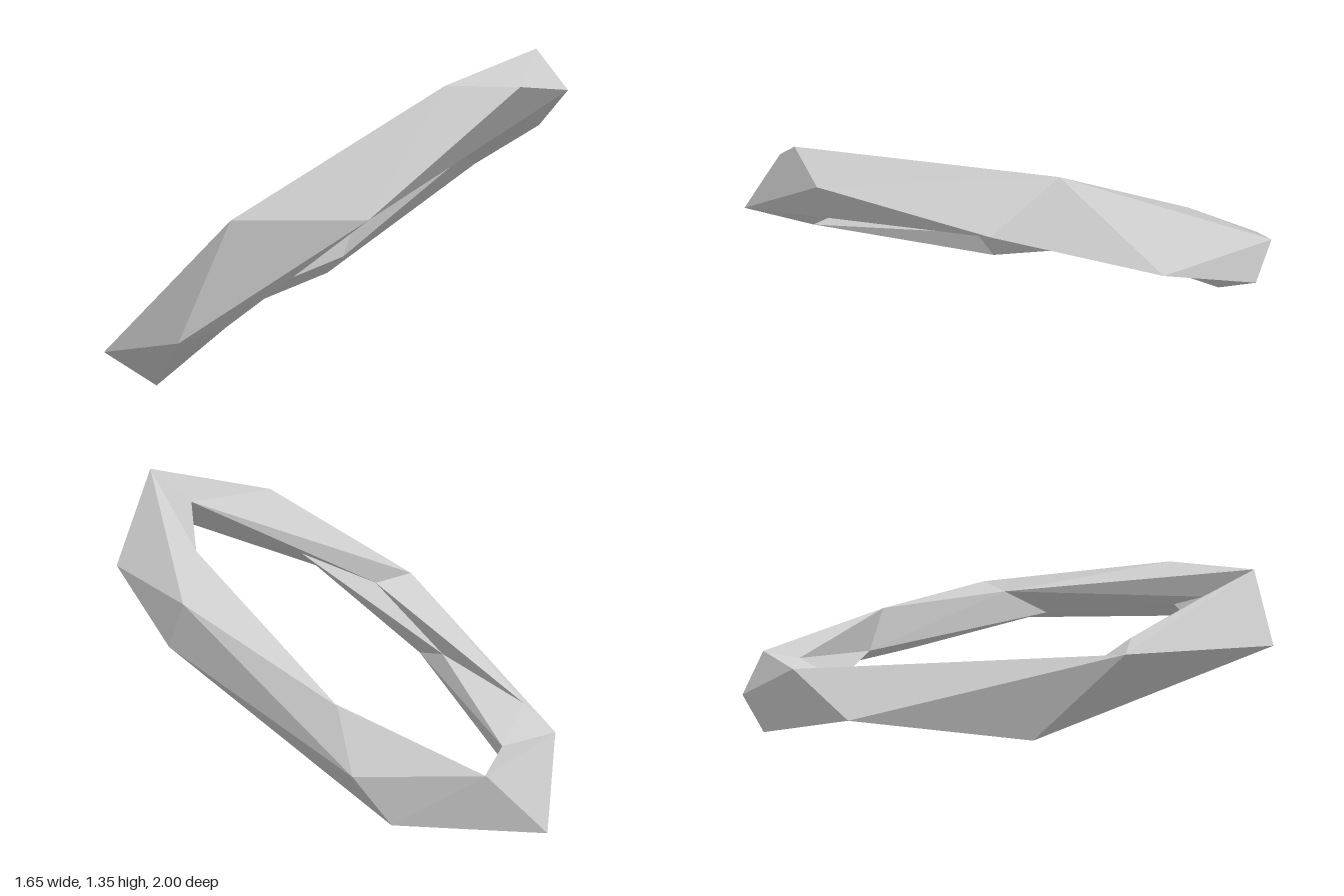
import * as THREE from 'three';

// Corners of the faceted ring, grouped by where they sit on the band
const P = {
  // upper crest
  M: [0.66, 1.35, -0.38], A: [0.17, 0.94, -1.0], B2: [-0.31, 0.645, -0.93], D: [-0.68, 0.36, -0.55],
  F: [-0.70, 0.23, 0.61], H: [0.07, 0.86, 0.95], J: [0.61, 1.26, 0.54],
  // inner upper edge
  Q: [0.57, 1.225, -0.24], Pt: [0.28, 1.08, -0.72], C: [-0.25, 0.62, -0.80], V: [-0.59, 0.24, -0.27],
  U: [-0.56, 0.35, 0.60], R: [0.17, 0.83, 0.735],
  // inner lower edge
  W: [0.685, 1.14, -0.07], h: [0.25, 0.86, -0.76], g: [-0.31, 0.36, -0.70], T: [-0.53, 0.22, 0.34],
  b: [-0.145, 0.51, 0.77], a: [0.47, 0.97, 0.57],
  // outer and lower edge
  L: [0.825, 1.205, -0.22], N: [0.60, 1.02, -0.71], O: [0.24, 0.80, -0.975], B: [-0.37, 0.44, -0.96],
  Y: [-0.44, 0.245, -0.80], E: [-0.83, 0.08, -0.24], Z: [-0.68, 0, 0.31], G: [-0.10, 0.46, 1.0],
  c: [0, 0.49, 0.88], I: [0.49, 0.88, 0.86], K: [0.80, 1.25, 0.36],
};

// Cross-sections round the ring: crest, inner top, inner bottom, bottom, outer.
// A repeated corner pinches the section. The flags pick each facet's diagonal
// on the way to the next section.
const SECTIONS = [
  ['M Q W L L', '00000'],
  ['M Q W N N', '00100'],
  ['A Pt h O O', '11101'],
  ['B2 C g Y B', '10100'],
  ['D V V E D', '00000'],
  ['F F T Z E', '00000'],
  ['F U T Z Z', '10001'],
  ['H R b c G', '00101'],
  ['J Q a I I', '00000'],
  ['J Q a I K', '00000'],
].map(([names, flags]) => ({ ids: names.split(' '), flags }));

function ringGeometry() {
  const pos = [];
  const tri = (p, q, r) => {
    if (p === q || q === r || r === p) return; // pinched away
    pos.push(...P[p], ...P[r], ...P[q]);
  };
  SECTIONS.forEach((s, i) => {
    const next = SECTIONS[(i + 1) % SECTIONS.length];
    const n = s.ids.length;
    for (let j = 0; j < n; j++) {
      const k = (j + 1) % n;
      const a = s.ids[j], b = s.ids[k], c = next.ids[k], d = next.ids[j];
      if (s.flags[j] === '0') {
        tri(a, b, c);
        tri(a, c, d);
      } else {
        tri(a, b, d);
        tri(b, c, d);
      }
    }
  });
  const geo = new THREE.BufferGeometry();
  geo.setAttribute('position', new THREE.Float32BufferAttribute(pos, 3));
  geo.computeVertexNormals();
  return geo;
}

export function createModel() {
  const group = new THREE.Group();
  group.name = 'facetedRing';
  const material = new THREE.MeshStandardMaterial({ color: 0xcccccc, flatShading: true, side: THREE.DoubleSide });
  const band = new THREE.Mesh(ringGeometry(), material);
  band.name = 'band';
  group.add(band);
  return group;
}
